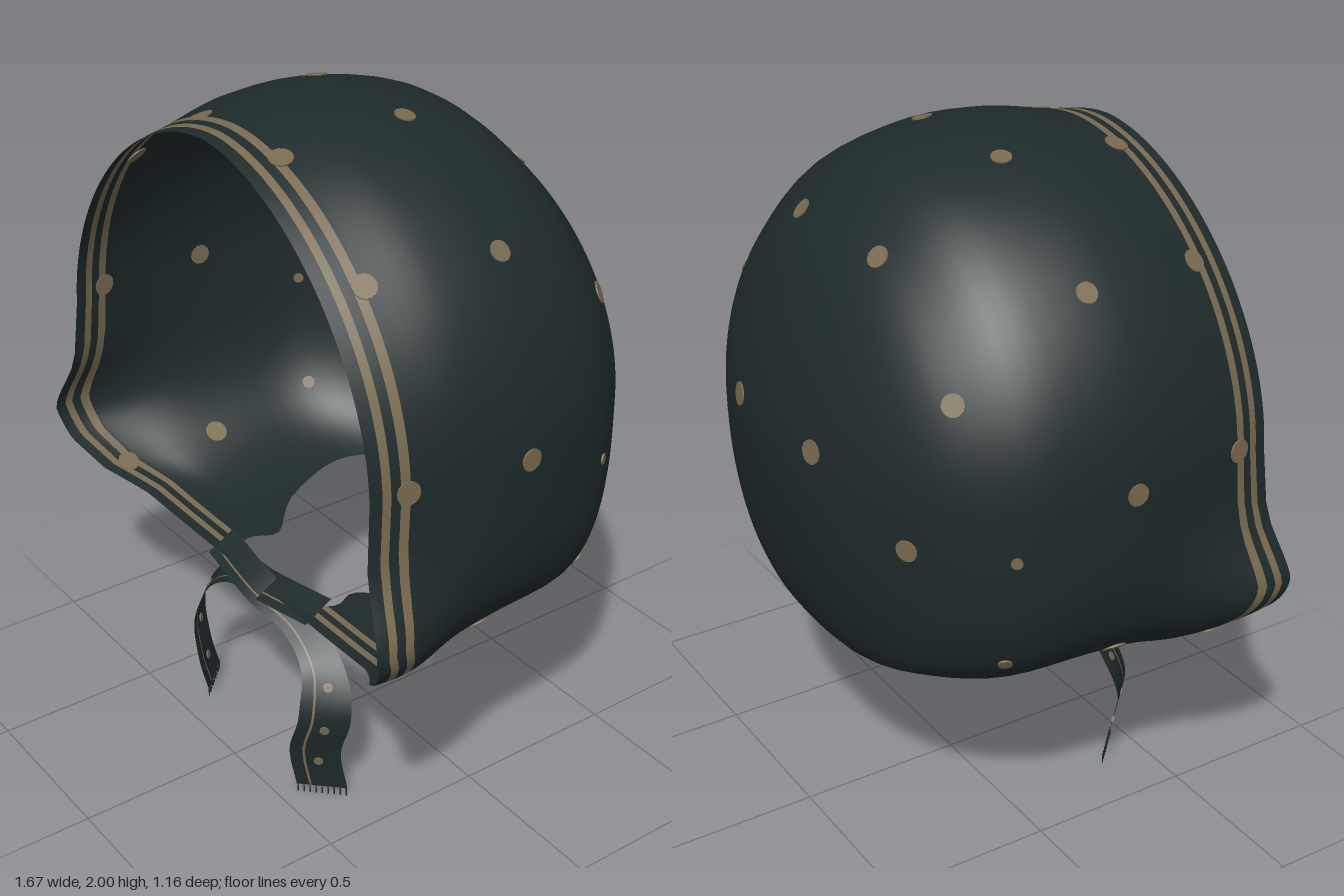
import * as THREE from 'three';

const V = (x, y, z) => new THREE.Vector3(x, y, z);

// rings of the hood from front rim to back pole: z, half width, top, bottom, neck gap, squareness
const RINGS = [
  [0.525, 0.73, 1.955, 0.575, 0.1, 5],
  [0.40, 0.755, 1.97, 0.57, 0.22, 4.8],
  [0.25, 0.78, 1.995, 0.565, 0.2, 3.8],
  [0.05, 0.79, 2.0, 0.56, 0.34, 3.3],
  [-0.18, 0.75, 1.945, 0.56, 0.42, 3.4],
  [-0.33, 0.66, 1.825, 0.57, 0.32, 3.2],
  [-0.43, 0.55, 1.70, 0.585, 0, 2.6],
  [-0.51, 0.40, 1.53, 0.72, 0, 2.3],
  [-0.555, 0.25, 1.38, 0.92, 0, 2.1],
  [-0.575, 0.12, 1.275, 1.08, 0, 2],
  [-0.58, 0, 1.18, 1.18, 0, 2],
];
const LAST = RINGS.length - 1;
const curveOf = (k) => new THREE.CatmullRomCurve3(
  RINGS.map((r) => V(r[k], r[k + 1], r[k + 2])), false, 'catmullrom', 0.5);
const curveA = curveOf(0), curveB = curveOf(3);

// forward sweep of the rim by height
const SWEEP = [[0.57, -0.13], [0.61, -0.1], [0.67, -0.02], [0.75, 0.035], [0.85, 0.06],
  [1.0, 0.03], [1.2, 0.01], [2.1, -0.01]];
function sweep(y) {
  if (y <= SWEEP[0][0]) return SWEEP[0][1];
  const i = SWEEP.findIndex((s) => y <= s[0]);
  return THREE.MathUtils.mapLinear(y, SWEEP[i - 1][0], SWEEP[i][0], SWEEP[i - 1][1], SWEEP[i][1]);
}

// point on the hood: u runs front to back, s runs around from one neck edge to the other
function hoodPoint(u, s) {
  const a = curveA.getPoint(u / LAST), b = curveB.getPoint(u / LAST);
  const z = a.x, w = Math.max(a.y, 0), top = a.z, bottom = b.x, n = b.z;
  const gap = u < 6 ? Math.max(b.y, 0) : 0;
  const start = gap > 0.001 ? Math.asin(Math.pow(Math.min(gap / w, 1), n / 2)) : 0;
  const phi = start + s * (2 * Math.PI - 2 * start);
  const sn = Math.sin(phi), cs = Math.cos(phi);
  const yc = THREE.MathUtils.clamp(THREE.MathUtils.mapLinear(u, 0, LAST, 1.23, 1.18), bottom, top);
  // the arch is slightly pointed at the rim and round further back
  const e = cs > 0 ? 2 / n : 2 / Math.min(1.8 + 0.1 * u, 2);
  let x = w * Math.sign(sn) * Math.pow(Math.abs(sn), e);
  const reach = Math.pow(Math.abs(cs), e);
  const y = cs > 0 ? yc - (yc - bottom) * reach : yc + (top - yc) * reach;
  const blend = THREE.MathUtils.smoothstep(z, 0, 0.525);
  // cheek flare beside the opening
  x *= 1 + 0.155 * blend * blend * Math.exp(-Math.pow((y - 0.82) / 0.16, 2));
  return V(x, y, z + blend * sweep(y));
}

// grid surface; one material index for each band of cells
function gridGeometry(rows, cols, point, band) {
  const pos = [], index = [[], []];
  for (let i = 0; i <= rows; i++)
    for (let j = 0; j <= cols; j++) pos.push(...point(i, j).toArray());
  for (let i = 0; i < rows; i++)
    for (let j = 0; j < cols; j++) {
      const a = i * (cols + 1) + j, b = a + 1, c = a + cols + 1, d = c + 1;
      index[band(i, j)].push(a, b, c, b, d, c);
    }
  const g = new THREE.BufferGeometry();
  g.setAttribute('position', new THREE.Float32BufferAttribute(pos, 3));
  g.setIndex([...index[0], ...index[1]]);
  g.addGroup(0, index[0].length, 0);
  g.addGroup(index[0].length, index[1].length, 1);
  g.computeVertexNormals();
  return g;
}

export function createModel() {
  const model = new THREE.Group();
  model.name = 'bonnet';
  const cloth = new THREE.MeshStandardMaterial({ color: 0x1e2a2b, side: THREE.DoubleSide });
  cloth.name = 'dark cloth';
  const tan = new THREE.MeshStandardMaterial({ color: 0x796a50, side: THREE.DoubleSide });
  tan.name = 'tan print';
  const add = (parent, geometry, material, name) => {
    const m = new THREE.Mesh(geometry, material);
    m.name = name;
    parent.add(m);
    return m;
  };

  // hood shell with two stripes along the rim
  const us = [0, 0.14, 0.28, 0.47, 0.57, 0.68, 0.88, 1];
  for (let u = 1.25; u <= LAST; u += 0.25) us.push(u);
  const cols = 160;
  const shell = gridGeometry(us.length - 1, cols,
    (i, j) => hoodPoint(us[i], j / cols), (i) => (i === 2 || i === 5 ? 1 : 0));
  add(model, shell, [cloth, tan], 'hood');

  // flat dot showing on both faces of the cloth
  function dot(parent, p, normal, r, name) {
    const m = add(parent, new THREE.CylinderGeometry(r, r, 0.007, 14), tan, name);
    m.position.copy(p);
    m.quaternion.setFromUnitVectors(V(0, 1, 0), normal);
  }

  // printed dots (x, y, z, radius), snapped to the shell and mirrored
  const spots = new THREE.Group();
  spots.name = 'dots';
  model.add(spots);
  const P = shell.attributes.position, N = shell.attributes.normal;
  const DOTS = [
    [0.21, 1.79, -0.36, 0.031], [0.57, 1.51, -0.35, 0.031], [0.21, 1.28, -0.57, 0.034],
    [0.5, 1.1, -0.43, 0.031], [0.2, 1.98, 0.03, 0.029], [0.6, 1.74, 0.03, 0.03],
    [0.79, 1.24, 0.07, 0.031], [0.72, 1.1, -0.25, 0.016], [0.66, 0.75, -0.24, 0.02],
    [0.66, 0.68, 0.12, 0.034], [0.19, 1.95, 0.41, 0.033], [0.54, 1.72, 0.41, 0.033],
    [0.75, 1.25, 0.43, 0.033], [0.68, 0.68, 0.42, 0.033],
  ];
  for (const [x, y, z, r] of DOTS)
    for (const side of [1, -1]) {
      const target = V(x * side, y, z), v = V(), best = V(), normal = V();
      let min = Infinity;
      for (let i = 0; i < P.count; i++) {
        const dist = v.fromBufferAttribute(P, i).distanceToSquared(target);
        if (dist < min) {
          min = dist;
          best.copy(v);
          normal.fromBufferAttribute(N, i);
        }
      }
      target.addScaledVector(normal, -target.clone().sub(best).dot(normal));
      dot(spots, target, normal, r, 'dot');
    }

  // crossed ribbon ties with a thin stripe and a fringed end
  function tie(side, endY, zShift, name) {
    const g = new THREE.Group();
    g.name = name;
    model.add(g);
    const path = new THREE.CatmullRomCurve3([
      V(-0.24, 0.585, 0.36), V(0, 0.56, 0.385), V(0.17, 0.51, 0.36), V(0.3, 0.42, 0.37),
      V(0.345, 0.3, 0.4), V(0.31, 0.17, 0.41), V(0.305, endY, 0.385),
    ].map((p) => V(p.x * side, p.y, p.z + zShift)));
    const across = (t) => V(0, 0.026, -0.045)
      .lerp(V(0.053 * side, 0, -0.053), THREE.MathUtils.smoothstep(t, 0.25, 0.65));
    const at = (t, k) => path.getPoint(t).addScaledVector(across(t), k);
    const ks = [-1, -0.5, -0.4, 0, 0.5, 1];
    add(g, gridGeometry(48, 5, (i, j) => at(i / 48, ks[j]), (i, j) => (j === 1 ? 1 : 0)),
      [cloth, tan], 'ribbon');
    for (const t of [0.55, 0.72, 0.88]) {
      const normal = path.getTangent(t).cross(across(t)).normalize();
      dot(g, at(t, 0.1), normal, 0.014, 'ribbonDot');
    }
    for (let i = 0; i < 9; i++) {
      const thread = add(g, new THREE.BoxGeometry(0.003, 0.032, 0.003), cloth, 'fringeThread');
      thread.position.copy(at(1, -0.95 + i * 0.2375));
      thread.position.y -= 0.01;
    }
  }
  tie(1, 0.026, 0.008, 'leftTie');
  tie(-1, 0.055, -0.008, 'rightTie');

  return model;
}
